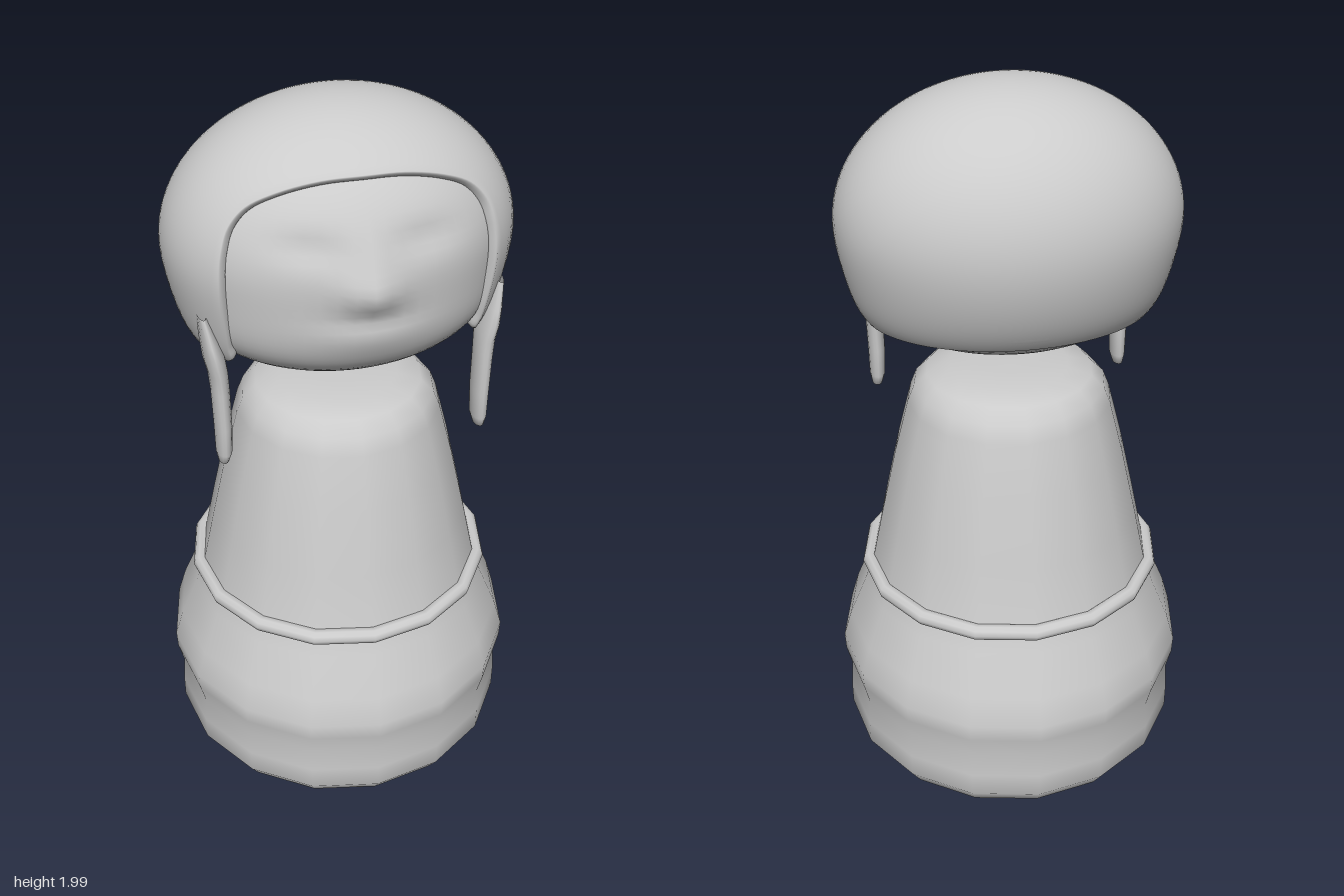
import * as THREE from 'three';
import { mergeVertices } from 'three/addons/utils/BufferGeometryUtils.js';

const CY = 1.65; // height of the head centre
const material = new THREE.MeshStandardMaterial({ color: 0xcccccc });
const hairMaterial = new THREE.MeshStandardMaterial({ color: 0xcccccc, side: THREE.DoubleSide });

function addMesh(parent, name, geometry, mat = material) {
  const mesh = new THREE.Mesh(geometry, mat);
  mesh.name = name;
  parent.add(mesh);
  return mesh;
}

// Skin a grid of points; columns close into a loop
function skinGrid(rows) {
  const n = rows[0].length, positions = [], index = [];
  rows.forEach((row) => row.forEach((p) => positions.push(p.x, p.y, p.z)));
  for (let r = 0; r < rows.length - 1; r++) {
    for (let j = 0; j < n; j++) {
      const k = (j + 1) % n;
      const a = r * n + j, b = a + n, c = (r + 1) * n + k, d = r * n + k;
      index.push(a, b, c, a, c, d);
    }
  }
  const g = new THREE.BufferGeometry();
  g.setAttribute('position', new THREE.Float32BufferAttribute(positions, 3));
  g.setIndex(index);
  const merged = mergeVertices(g, 1e-5);
  merged.computeVertexNormals();
  return merged;
}

// Egg-shaped head with nose, eye hollows and mouth pushed into the front
function headGeometry() {
  let g = new THREE.SphereGeometry(1, 64, 48);
  g.deleteAttribute('uv');
  g.deleteAttribute('normal');
  g = mergeVertices(g, 1e-5);
  const p = g.attributes.position;
  const bump = (x, y, cx, cy, sx, sy) => Math.exp(-(((x - cx) / sx) ** 2) - ((y - cy) / sy) ** 2);
  for (let i = 0; i < p.count; i++) {
    const dx = p.getX(i), dy = p.getY(i), dz = p.getZ(i);
    const s = Math.max(0, -dy);
    const w = 1 + 1.45 * s ** 3 * (1 - s);
    const x = dx * 0.42 * w, y = dy * (dy > 0 ? 0.33 : 0.35);
    let z = dz * 0.333 * w;
    if (dz > 0) {
      const ax = Math.abs(x);
      z += 0.034 * bump(ax, y, 0, -0.01, 0.065, 0.05);   // nose tip
      z += 0.012 * bump(ax, y, 0, 0.06, 0.04, 0.06);     // nose bridge
      z -= 0.014 * bump(ax, y, 0.14, 0.1, 0.08, 0.035);  // eye hollows
      z -= 0.008 * bump(ax, y, 0, -0.085, 0.1, 0.02);    // mouth line
      z += 0.01 * bump(ax, y, 0, -0.13, 0.14, 0.05);     // lower lip and chin
    }
    p.setXYZ(i, x, CY + y, z);
  }
  g.computeVertexNormals();
  return g;
}

// Hair surface point for a unit direction, with an inward offset
function hairPoint(d, inset) {
  const s = Math.max(0, -d.y) ** 3;
  return new THREE.Vector3(
    d.x * (0.445 - inset) * (1 + 0.6 * s),
    CY + d.y * (0.35 - inset),
    d.z * (0.355 - inset) * (1 + (d.z > 0 ? 0.6 : 0.25) * s)
  );
}

// Cap of hair spreading from the crown to a rim around the face and nape
function hairGeometry() {
  // Rim as [azimuth from the front in degrees, direction height]
  const half = [[0, 0.714], [18, 0.7], [35, 0.63], [45.5, 0.53], [49.5, 0.4], [50, 0.23], [50, 0],
    [51, -0.28], [53, -0.55], [56, -0.7], [75, -0.714], [100, -0.714], [125, -0.714], [152, -0.714], [180, -0.714]];
  const rim = [...half, ...half.slice(1, -1).reverse().map(([a, y]) => [-a, y])].map(([deg, y]) => {
    const a = THREE.MathUtils.degToRad(deg), h = Math.sqrt(1 - y * y);
    return new THREE.Vector3(Math.sin(a) * h, y, Math.cos(a) * h);
  });
  const loop = new THREE.CatmullRomCurve3(rim, true).getPoints(140).slice(0, -1).map((v) => v.normalize());
  const crown = new THREE.Vector3(0, 0.7, -0.7).normalize();
  // [angular fraction, inset]: outer skin, rounded rim, inner skin
  const steps = [];
  for (let i = 0; i <= 28; i++) steps.push([i / 28, 0]);
  steps.push([1.004, 0.004], [1.006, 0.01], [1.005, 0.02], [1, 0.028], [0.95, 0.03], [0.85, 0.035]);
  return skinGrid(steps.map(([t, inset]) => loop.map((v) => {
    const angle = crown.angleTo(v);
    const d = crown.clone().multiplyScalar(Math.sin((1 - t) * angle))
      .addScaledVector(v, Math.sin(t * angle)).divideScalar(Math.sin(angle));
    return hairPoint(d.normalize(), inset);
  })));
}

// Flat hanging lock of hair with a rounded tip
function lockGeometry(side) {
  // [y, centre x, centre z, half thickness, half width]
  const sections = [[1.54, 0.375, 0.14, 0.012, 0.05], [1.47, 0.362, 0.15, 0.022, 0.062], [1.42, 0.353, 0.155, 0.027, 0.062],
    [1.38, 0.346, 0.164, 0.025, 0.048], [1.33, 0.343, 0.168, 0.024, 0.044], [1.22, 0.341, 0.168, 0.023, 0.042],
    [1.14, 0.342, 0.168, 0.021, 0.038], [1.11, 0.344, 0.168, 0.014, 0.026], [1.097, 0.345, 0.168, 0, 0]];
  return skinGrid(sections.map(([y, cx, cz, hx, hz]) => Array.from({ length: 16 }, (_, i) => {
    const a = (i / 16) * Math.PI * 2;
    return new THREE.Vector3(side * cx + Math.sin(a) * hx, y, cz + Math.cos(a) * hz);
  })));
}

export function createModel() {
  const model = new THREE.Group();
  model.name = 'doll';

  // Bell-shaped body, closed at both ends
  const profile = [[0, 0.005], [0.25, 0.008], [0.36, 0.02], [0.45, 0.05], [0.483, 0.1], [0.483, 0.17], [0.478, 0.25],
    [0.492, 0.31], [0.494, 0.36], [0.47, 0.44], [0.42, 0.56], [0.392, 0.64], [0.36, 0.79], [0.317, 0.98],
    [0.278, 1.13], [0.26, 1.175], [0.225, 1.21], [0.16, 1.227], [0.08, 1.233], [0, 1.234]];
  addMesh(model, 'body', new THREE.LatheGeometry(profile.map(([x, y]) => new THREE.Vector2(x, y)), 16));

  // Belt ring
  addMesh(model, 'belt', new THREE.TorusGeometry(0.403, 0.022, 10, 16).rotateX(Math.PI / 2)).position.y = 0.62;

  // Head and hair
  addMesh(model, 'head', headGeometry());
  const hair = new THREE.Group();
  hair.name = 'hair';
  model.add(hair);
  addMesh(hair, 'hairCap', hairGeometry(), hairMaterial);
  addMesh(hair, 'leftLock', lockGeometry(1), hairMaterial);
  addMesh(hair, 'rightLock', lockGeometry(-1), hairMaterial);

  return model;
}
